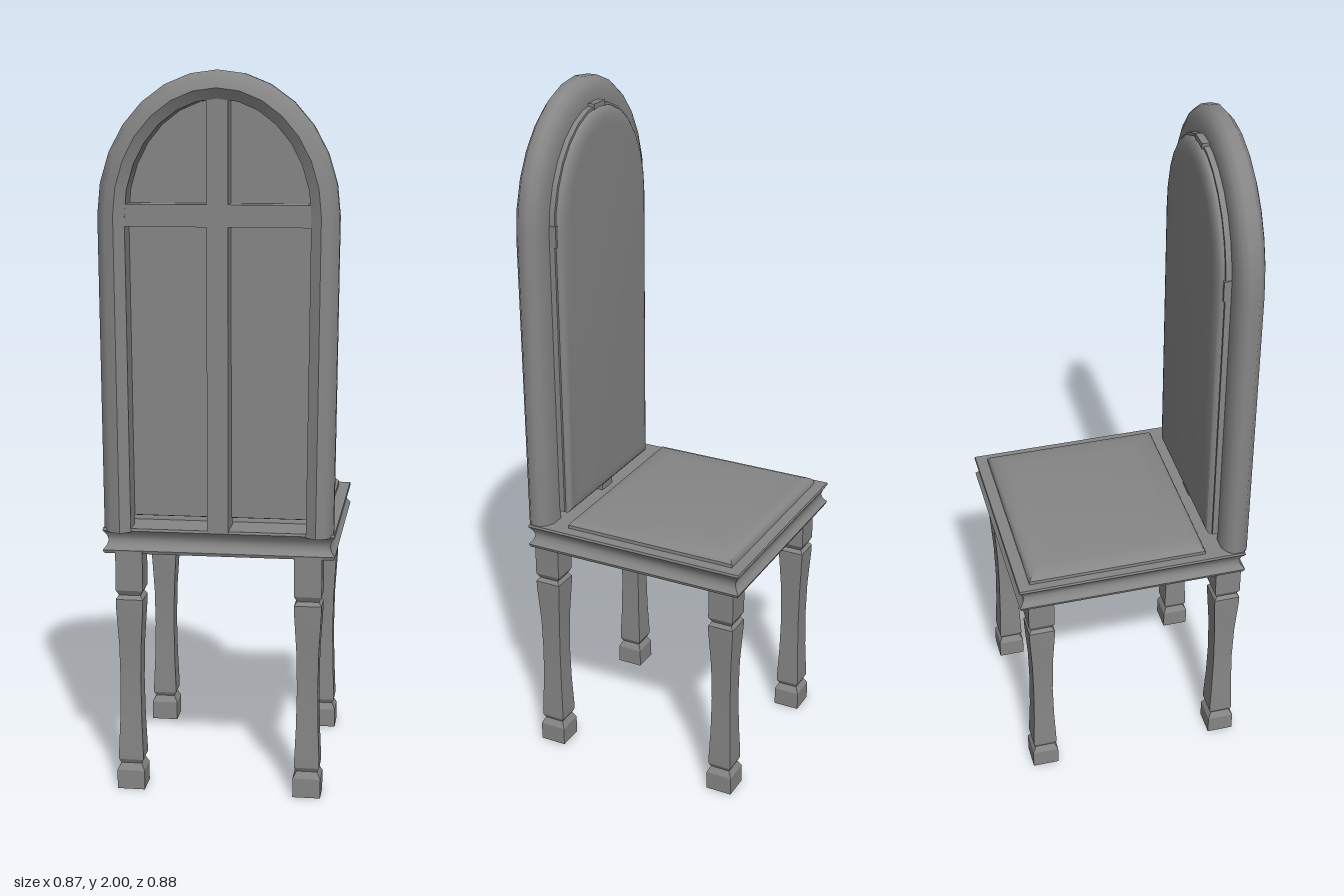
import * as THREE from 'three';
import { toCreasedNormals } from 'three/addons/utils/BufferGeometryUtils.js';

const SPRING = 1.62, SEAT_TOP = 0.76;
const material = new THREE.MeshStandardMaterial({ color: 0x868686, side: THREE.DoubleSide });

function part(name, geometry, crease = 0.5) {
  const mesh = new THREE.Mesh(toCreasedNormals(geometry, crease), material);
  mesh.name = name;
  return mesh;
}

// Four-sided turning: profile of [half width, y], bottom to top
function squareTurned(profile, sx = 1, sz = 1) {
  const points = profile.map(([w, y]) => new THREE.Vector2(w * Math.SQRT2, y));
  return new THREE.LatheGeometry(points, 4).rotateY(Math.PI / 4).scale(sx, 1, sz);
}

// Outline of the arched back, inset by d, from one foot over the top to the other
function arch(d, bottom, steps = 14) {
  const points = [new THREE.Vector2(-0.317 + d, bottom)];
  for (let i = 0; i <= steps; i++) {
    const a = Math.PI * (1 - i / steps);
    points.push(new THREE.Vector2(Math.cos(a) * (0.325 - d), SPRING + Math.sin(a) * (0.38 - d)));
  }
  points.push(new THREE.Vector2(0.317 - d, bottom));
  return points;
}

// Sweeps a closed section of [inset, z] along the arch
function archFrame(section) {
  const rails = section.map(([d]) => arch(d, SEAT_TOP - 0.01));
  const n = section.length, count = rails[0].length;
  const positions = [], index = [];
  for (let i = 0; i < count; i++) {
    for (let j = 0; j < n; j++) {
      positions.push(rails[j][i].x, rails[j][i].y, section[j][1]);
      if (i === count - 1) continue;
      const k = (j + 1) % n;
      const a = i * n + j, b = a + n, d = i * n + k, c = d + n;
      index.push(a, d, c, a, c, b);
    }
  }
  const geometry = new THREE.BufferGeometry();
  geometry.setAttribute('position', new THREE.Float32BufferAttribute(positions, 3));
  geometry.setIndex(index);
  return geometry;
}

function archSlab(d, bottom, z, options) {
  const shape = new THREE.Shape(arch(d, bottom));
  return new THREE.ExtrudeGeometry(shape, options).translate(0, 0, z);
}

export function createModel() {
  const model = new THREE.Group();
  const chair = new THREE.Group();
  chair.name = 'chair';
  chair.rotation.y = THREE.MathUtils.degToRad(25);
  model.add(chair);

  // Seat board with a coved rim
  chair.add(part('seat', squareTurned(
    [[0, 0.688], [0.99, 0.688], [1, 0.697], [0.97, 0.709], [0.955, 0.724], [0.97, 0.739], [1, 0.753],
      [0.995, SEAT_TOP], [0, SEAT_TOP]], 0.322, 0.335), 0.8));

  // Domed seat cushion
  const cushion = part('seatCushion', squareTurned(
    [[1, 0.755], [1, 0.77], [0.97, 0.78], [0.88, 0.791], [0.7, 0.798], [0, 0.8]], 0.292, 0.26), 0.7);
  cushion.position.set(-0.004, 0, -0.04);
  chair.add(cushion);

  // Square turned legs
  const legProfile = [[0, 0], [0.039, 0], [0.039, 0.055], [0.029, 0.074], [0.035, 0.086], [0.035, 0.105],
    [0.031, 0.2], [0.029, 0.31], [0.031, 0.42], [0.038, 0.54], [0.038, 0.556], [0.03, 0.567],
    [0.038, 0.582], [0.038, 0.695]];
  for (const [x, z, name] of [[0.249, -0.266, 'frontLeg'], [0.249, 0.298, 'backLeg']]) {
    for (const side of [-1, 1]) {
      const leg = part(name, squareTurned(legProfile), 0.25);
      leg.position.set(side * x, 0, z);
      chair.add(leg);
    }
  }

  // Rounded arch of the back
  chair.add(part('backFrame', archFrame(
    [[0, 0.3], [0, 0.328], [0.022, 0.346], [0.047, 0.355], [0.075, 0.337], [0.075, 0.272], [0.035, 0.272],
      [0.012, 0.284]]), 0.9));

  // Padded panel set deep inside the arch
  chair.add(part('backPanel', archSlab(0.07, 0.785, 0.256, { depth: 0.016, bevelEnabled: false })));
  chair.add(part('backCushion', archSlab(0.122, 0.825, 0.253, {
    depth: 0.001, bevelThickness: 0.017, bevelSize: 0.045, bevelSegments: 5,
  }), 0.7));

  // Crossed bars behind the panel
  const upright = part('uprightBar', new THREE.BoxGeometry(0.058, 1.18, 0.085));
  upright.position.set(0, 1.345, 0.294);
  const crossbar = part('crossBar', new THREE.BoxGeometry(0.51, 0.06, 0.085));
  crossbar.position.set(0, SPRING, 0.294);
  chair.add(upright, crossbar);

  return model;
}
